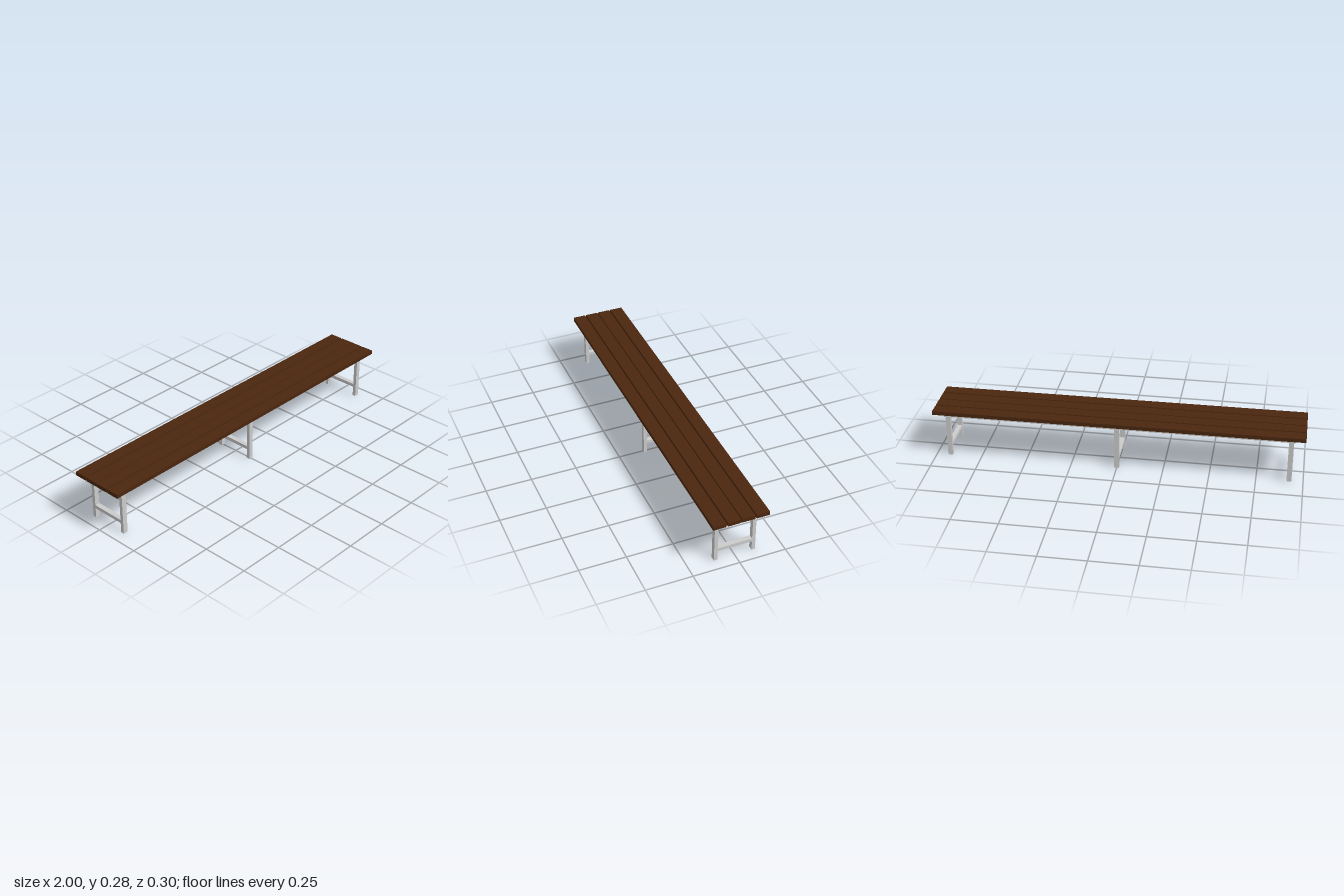
import * as THREE from 'three';

export function createModel() {
  const model = new THREE.Group();
  model.name = 'bench';
  const wood = new THREE.MeshStandardMaterial({ color: 0x4a260e });
  const metal = new THREE.MeshStandardMaterial({ color: 0xcccccc });

  function box(parent, name, material, size, position) {
    const mesh = new THREE.Mesh(new THREE.BoxGeometry(...size), material);
    mesh.name = name;
    mesh.position.set(...position);
    parent.add(mesh);
  }

  const tube = 0.0265, thin = 0.0187;
  const seatTop = 0.282, plankT = 0.021;
  const frameTop = seatTop - plankT;
  const frameY = frameTop - thin / 2;
  const legH = frameTop - thin;

  // Seat planks
  const seat = new THREE.Group();
  seat.name = 'seat';
  for (const z of [-0.115, -0.0375, 0.0375, 0.115])
    box(seat, 'seatPlank', wood, [2, plankT, 0.07], [0, seatTop - plankT / 2, z]);

  // Long rails and cross bars under the seat
  const frame = new THREE.Group();
  frame.name = 'seatFrame';
  for (const side of [-1, 1])
    box(frame, 'longRail', metal, [1.89, thin, tube], [0, frameY, side * 0.1145]);
  for (let i = -2; i <= 2; i++)
    box(frame, 'crossBar', metal, [tube, thin, 0.203], [i * 0.4625, frameY, 0]);

  model.add(seat, frame);

  // Three leg frames, each with two legs and a low stretcher
  for (const x of [-0.925, 0, 0.925]) {
    const legs = new THREE.Group();
    legs.name = 'legFrame';
    legs.position.x = x;
    for (const side of [-1, 1])
      box(legs, 'leg', metal, [tube, legH, thin], [0, legH / 2, side * 0.1025]);
    box(legs, 'stretcher', metal, [tube, thin, 0.1865], [0, 0.065, 0]);
    model.add(legs);
  }
  return model;
}
